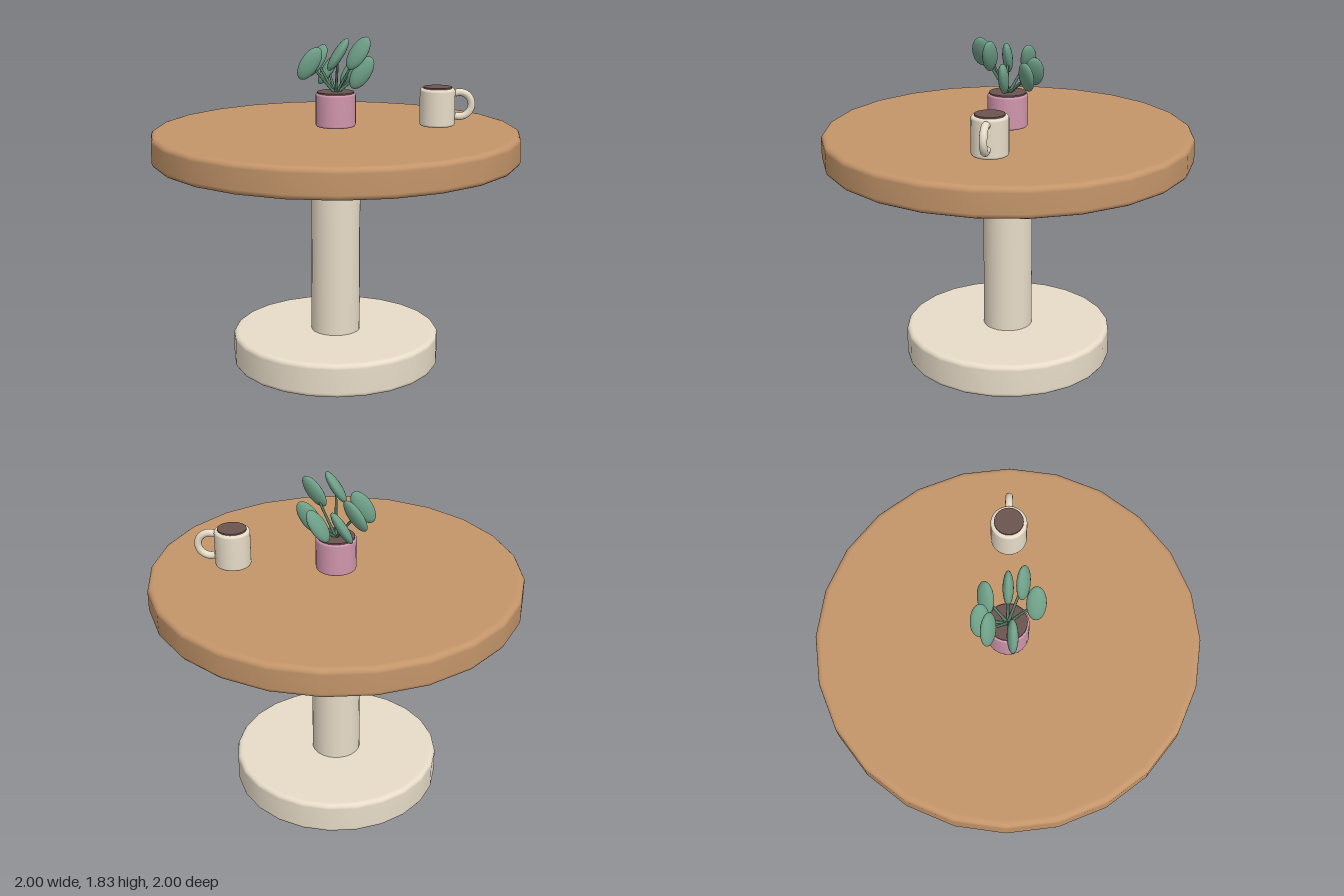
import * as THREE from 'three';

const mat = (color) => new THREE.MeshStandardMaterial({ color });

// Solid disc or cylinder with rounded rims, standing on y = y0
function roundedDisc(name, r, y0, y1, bevel, material, sides = 24) {
  const pts = [new THREE.Vector2(0, y0), new THREE.Vector2(r - bevel * 1.3, y0)];
  const steps = 4;
  for (let i = 0; i <= steps; i++) {
    const a = -Math.PI / 2 + (i / steps) * Math.PI / 2;
    pts.push(new THREE.Vector2(r - bevel + Math.cos(a) * bevel, y0 + bevel + Math.sin(a) * bevel));
  }
  for (let i = 0; i <= steps; i++) {
    const a = (i / steps) * Math.PI / 2;
    pts.push(new THREE.Vector2(r - bevel + Math.cos(a) * bevel, y1 - bevel + Math.sin(a) * bevel));
  }
  pts.push(new THREE.Vector2(r - bevel * 1.3, y1), new THREE.Vector2(0, y1));
  const mesh = new THREE.Mesh(new THREE.LatheGeometry(pts, sides), material);
  mesh.name = name;
  return mesh;
}

function cylinder(name, r, y0, y1, material, sides = 24) {
  const mesh = new THREE.Mesh(new THREE.CylinderGeometry(r, r, y1 - y0, sides), material);
  mesh.position.y = (y0 + y1) / 2;
  mesh.name = name;
  return mesh;
}

export function createModel() {
  const wood = mat(0xc4956a), cream = mat(0xe8dcc8), pink = mat(0xd196ac);
  const brown = mat(0x6b5450), leafGreen = mat(0x6fa088), stemGreen = mat(0x557d68);
  const model = new THREE.Group();
  model.name = 'pedestalTable';

  // Table: foot, column and round top
  model.add(
    roundedDisc('base', 0.575, 0, 0.184, 0.025, cream),
    cylinder('column', 0.136, 0.17, 1.18, cream),
    roundedDisc('tableTop', 1, 1.165, 1.324, 0.028, wood)
  );

  // Potted plant
  const plant = new THREE.Group();
  plant.name = 'plant';
  plant.add(
    roundedDisc('pot', 0.109, 1.341, 1.522, 0.012, pink),
    cylinder('soil', 0.1, 1.5, 1.529, brown)
  );
  // Leaf centres; each blade is turned to its direction, then all lean to +x
  const leaves = [
    [0.14, 1.63, 0], [0.118, 1.743, 0.075], [0.01, 1.743, 0.138], [-0.139, 1.683, 0.024],
    [-0.105, 1.685, -0.095], [-0.038, 1.635, -0.138], [0.085, 1.63, -0.112]
  ];
  const root = new THREE.Vector3(0, 1.515, 0);
  const up = new THREE.Vector3(0, 1, 0);
  for (const [x, y, z] of leaves) {
    const centre = new THREE.Vector3(x, y, z);
    const leaf = new THREE.Mesh(new THREE.SphereGeometry(1, 20, 14), leafGreen);
    leaf.name = 'leaf';
    leaf.scale.set(0.05, 0.098, 0.028);
    leaf.rotation.set(0, -Math.atan2(z, x), -0.56, 'ZYX');
    leaf.position.copy(centre);

    const dir = centre.clone().sub(root);
    const stem = new THREE.Mesh(new THREE.CylinderGeometry(0.006, 0.008, dir.length(), 8), stemGreen);
    stem.name = 'stem';
    stem.position.copy(root).addScaledVector(dir, 0.5);
    stem.quaternion.setFromUnitVectors(up, dir.normalize());
    plant.add(leaf, stem);
  }
  model.add(plant);

  // Mug with a ring handle running into its wall
  const mug = new THREE.Group();
  mug.name = 'mug';
  const arc = 4;
  const handle = new THREE.Mesh(new THREE.TorusGeometry(0.066, 0.02, 12, 28, arc), cream);
  handle.name = 'mugHandle';
  handle.rotation.z = -arc / 2;
  handle.position.set(0.119, 1.458, 0);
  mug.add(
    roundedDisc('mugBody', 0.096, 1.343, 1.546, 0.014, cream),
    cylinder('coffee', 0.077, 1.52, 1.554, brown),
    handle
  );
  mug.position.x = 0.55;
  model.add(mug);

  return model;
}
